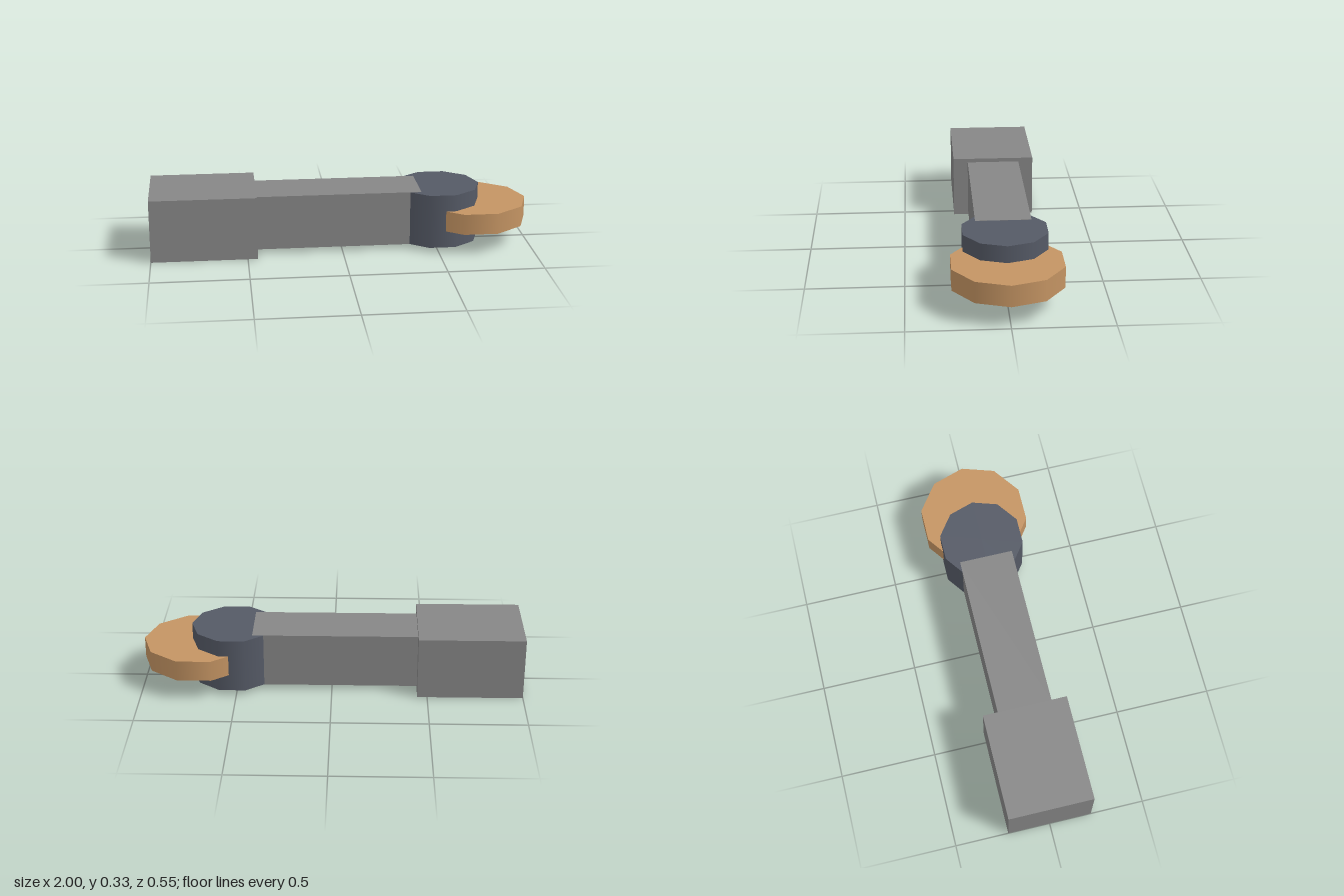
import * as THREE from 'three';
import { mergeGeometries } from 'three/addons/utils/BufferGeometryUtils.js';

const grey = new THREE.MeshStandardMaterial({ color: 0x868686 });
grey.name = 'grey';
const slate = new THREE.MeshStandardMaterial({ color: 0x555a66, side: THREE.DoubleSide });
slate.name = 'slate';
const tan = new THREE.MeshStandardMaterial({ color: 0xc49463, side: THREE.DoubleSide });
tan.name = 'tan';

// Box given by its extents along x and y, and its half depth
function block(name, x0, x1, y0, y1, halfZ) {
  const geo = new THREE.BoxGeometry(x1 - x0, y1 - y0, halfZ * 2);
  geo.translate((x0 + x1) / 2, (y0 + y1) / 2, 0);
  const mesh = new THREE.Mesh(geo, grey);
  mesh.name = name;
  return mesh;
}

// Ten-sided drum with a smooth wall, a flat top and an open underside
function drum(name, x, y0, y1, radius, material) {
  const wall = new THREE.CylinderGeometry(radius, radius, y1 - y0, 10, 1, true, Math.PI / 2);
  wall.translate(x, (y0 + y1) / 2, 0);
  const top = new THREE.CircleGeometry(radius, 10);
  top.rotateX(-Math.PI / 2).translate(x, y1, 0);
  const mesh = new THREE.Mesh(mergeGeometries([wall, top]), material);
  mesh.name = name;
  return mesh;
}

export function createModel() {
  const model = new THREE.Group();
  model.name = 'jointedArm';
  model.add(
    block('baseBlock', -1, -0.448, 0, 0.332, 0.221),
    block('armBar', -0.448, 0.415, 0.023, 0.311, 0.142),
    drum('jointHousing', 0.521, 0.023, 0.31, 0.222, slate),
    drum('endDisc', 0.712, 0.112, 0.222, 0.288, tan)
  );
  return model;
}
